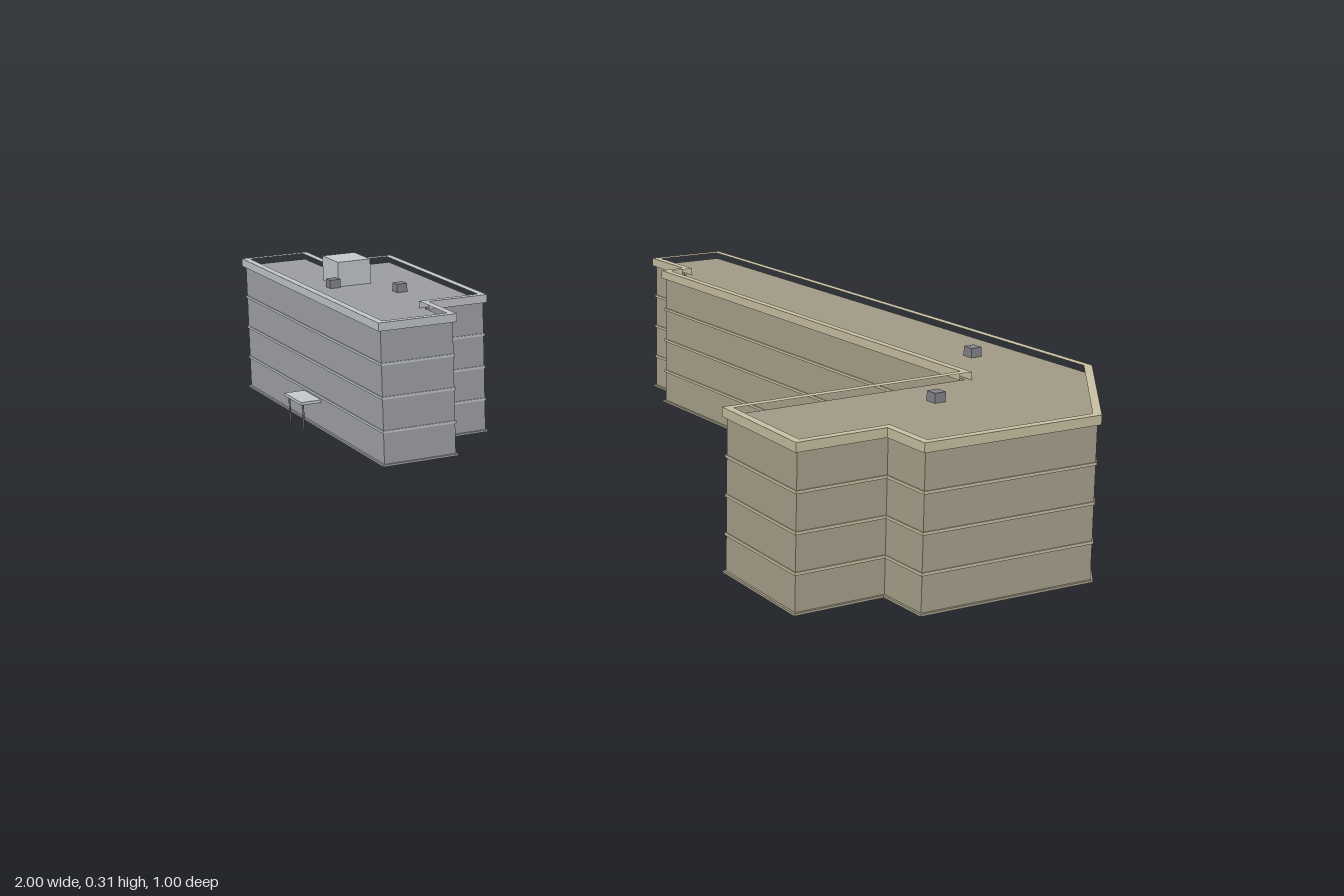
import * as THREE from 'three';

const mat = (name, color, side = THREE.FrontSide) => {
  const m = new THREE.MeshStandardMaterial({ color, side });
  m.name = name;
  return m;
};

// Footprints as [x, z], clockwise seen from above
const LONG = [[-0.35, -0.5], [0.8, -0.22], [1, 0.04], [0.905, 0.362], [0.81, 0.335], [0.767, 0.497],
  [0.545, 0.425], [0.668, -0.027], [-0.29, -0.27], [-0.277, -0.318], [-0.395, -0.347]];
const SMALL = [[-0.812, 0.02], [-0.365, 0.135], [-0.395, 0.256], [-0.275, 0.286], [-0.315, 0.44],
  [-1, 0.265], [-0.965, 0.125], [-0.845, 0.155]];

const ROOF_Y = 0.263, TOP_Y = 0.277, TILT = -0.25;

// Moves every edge of a footprint outward by d, with mitred corners
function offset(pts, d) {
  const n = pts.length;
  const normal = (a, b) => {
    const dx = b[0] - a[0], dz = b[1] - a[1], l = Math.hypot(dx, dz);
    return [dz / l, -dx / l];
  };
  return pts.map((p, i) => {
    const u = normal(pts[(i + n - 1) % n], p), v = normal(p, pts[(i + 1) % n]);
    const k = d / (1 + u[0] * v[0] + u[1] * v[1]);
    return [p[0] + (u[0] + v[0]) * k, p[1] + (u[1] + v[1]) * k];
  });
}

const vectors = (pts) => pts.map(([x, z]) => new THREE.Vector2(x, -z));

// Hollow ring that follows a footprint
function ring(outer, inner, y, height) {
  const shape = new THREE.Shape(vectors(outer));
  shape.holes.push(new THREE.Path(vectors(inner)));
  return new THREE.ExtrudeGeometry(shape, { depth: height, bevelEnabled: false })
    .rotateX(-Math.PI / 2).translate(0, y, 0);
}

// Upright walls without floor or lid
function wallGeometry(pts, height) {
  const pos = [];
  pts.forEach((a, i) => {
    const b = pts[(i + 1) % pts.length];
    const [b0, a0, a1, b1] = [[b, 0], [a, 0], [a, height], [b, height]].map(([p, y]) => [p[0], y, p[1]]);
    pos.push(...b0, ...a0, ...a1, ...b0, ...a1, ...b1);
  });
  const g = new THREE.BufferGeometry();
  g.setAttribute('position', new THREE.Float32BufferAttribute(pos, 3));
  g.computeVertexNormals();
  return g;
}

function add(group, name, geometry, material) {
  const m = new THREE.Mesh(geometry, material);
  m.name = name;
  group.add(m);
  return m;
}

// Box standing on y, turned to the building's axis
function block(group, name, [w, h, d], [x, y, z], material) {
  const m = add(group, name, new THREE.BoxGeometry(w, h, d).translate(0, h / 2, 0), material);
  m.position.set(x, y, z);
  m.rotation.y = TILT;
  return m;
}

function building(name, outline, mats, vents, door, metal, dark) {
  const g = new THREE.Group();
  g.name = name;
  const wall = offset(outline, -0.006);
  add(g, 'walls', wallGeometry(wall, ROOF_Y), mats.wall);

  const roof = new THREE.ShapeGeometry(new THREE.Shape(vectors(wall)));
  add(g, 'roof', roof.rotateX(-Math.PI / 2).translate(0, ROOF_Y, 0), mats.roof);

  add(g, 'parapet', ring(outline, offset(outline, -0.014), 0.261, TOP_Y - 0.261), mats.trim);

  // Floor ledges and plinth
  for (const y of [0.064, 0.129, 0.194]) {
    add(g, 'floorLedge', ring(offset(wall, 0.002), wall, y, 0.005), mats.trim);
  }
  add(g, 'plinth', ring(offset(wall, 0.004), wall, 0, 0.004), mats.wall);

  for (const [x, z] of vents) block(g, 'roofVent', [0.022, 0.017, 0.022], [x, ROOF_Y, z], dark);

  // Entrance canopy on two posts
  const canopy = new THREE.Group();
  canopy.name = 'entranceCanopy';
  canopy.position.set(door[0], 0, door[1]);
  canopy.rotation.y = TILT;
  add(canopy, 'canopyRoof', new THREE.BoxGeometry(0.088, 0.006, 0.05).translate(0, 0.057, 0), metal);
  for (const s of [-1, 1]) {
    add(canopy, 'canopyPost', new THREE.CylinderGeometry(0.002, 0.002, 0.054, 8)
      .translate(s * 0.036, 0.027, 0.018), dark);
  }
  g.add(canopy);
  return g;
}

export function createModel() {
  const model = new THREE.Group();
  model.name = 'buildings';
  const D = THREE.DoubleSide;
  const metal = mat('light metal', 0xc5c9cd);
  const dark = mat('dark grey', 0x85868a);
  const tan = { wall: mat('tan wall', 0xaaa28d, D), roof: mat('tan roof', 0xa39b87, D), trim: mat('cream trim', 0xcac1a3) };
  const grey = { wall: mat('grey wall', 0xa1a2a9, D), roof: mat('grey roof', 0x9d9ea3, D), trim: mat('pale grey trim', 0xc2c5ca) };

  model.add(building('longBuilding', LONG, tan, [[0.58, -0.175], [0.73, 0.115]], [0.186, -0.138], metal, dark));

  const small = building('smallBuilding', SMALL, grey,
    [[-0.765, 0.14], [-0.56, 0.195], [-0.685, 0.265]], [-0.661, 0.363], metal, dark);
  block(small, 'penthouse', [0.08, 0.05, 0.07], [-0.71, ROOF_Y, 0.212], metal);
  model.add(small);
  return model;
}
